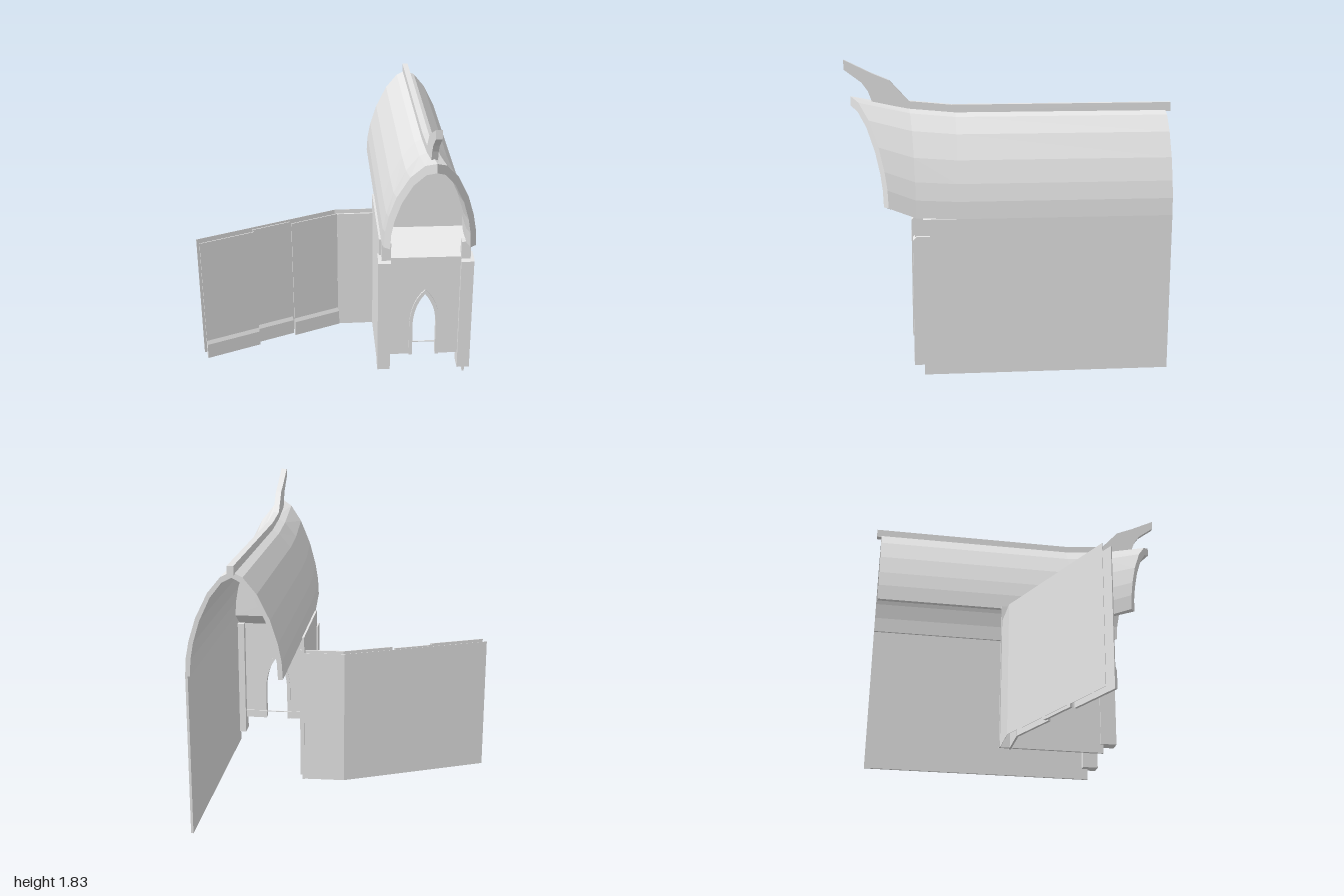
import * as THREE from 'three';

const W = 0.269; // half width of the hall
const EAVE = 0.94;
const RISE = 0.59;

// Half of the pointed roof section, eave to ridge
const ARCH = [[W, EAVE], [0.263, 1.04], [0.244, 1.14], [0.203, 1.27], [0.134, 1.41], [0.06, 1.5], [0, EAVE + RISE]];
const OUTER = [
  ...ARCH.map(([x, y]) => [-x, y]),
  ...ARCH.slice(0, -1).reverse(),
];
// Underside of the roof for given width and height factors
const inner = (sx, sy) => OUTER.map(([x, y]) => [x * sx, EAVE + (y - EAVE) * sy]);

function toShape(points) {
  return new THREE.Shape(points.map(([a, b]) => new THREE.Vector2(a, b)));
}

// Extrudes a [z, y] profile along x from x0 to x1
function extrudeX(points, x0, x1) {
  const g = new THREE.ExtrudeGeometry(toShape(points), { depth: x1 - x0, bevelEnabled: false });
  return g.rotateY(-Math.PI / 2).translate(x1, 0, 0);
}

function extrudeZ(shape, z0, z1) {
  return new THREE.ExtrudeGeometry(shape, { depth: z1 - z0, bevelEnabled: false, curveSegments: 6 }).translate(0, 0, z0);
}

function block(x0, x1, y0, y1, z0, z1) {
  return new THREE.BoxGeometry(x1 - x0, y1 - y0, z1 - z0)
    .translate((x0 + x1) / 2, (y0 + y1) / 2, (z0 + z1) / 2);
}

// Roof shell lofted from back to front, flaring to a thicker prow
function roofGeometry() {
  // z, eave lift, ridge lift, forward reach of the ridge, inner width and height factors
  const rows = [
    [0, 0, 0, 0, 0.9, 0.945],
    [1.25, 0, 0, 0, 0.9, 0.945],
    [1.49, 0.01, 0.025, 0.03, 0.88, 0.93],
    [1.645, 0.07, 0.09, 0.21, 0.87, 0.91],
  ];
  const n = OUTER.length, N = 2 * n;
  const pos = [], idx = [];
  for (const [z, eave, ridge, reach, sx, sy] of rows) {
    for (const [x, y] of [...OUTER, ...inner(sx, sy).reverse()]) {
      const t = (y - EAVE) / RISE;
      pos.push(x, y + eave + (ridge - eave) * t, z + reach * (1 - Math.abs(x) / W));
    }
  }
  for (let r = 0; r < rows.length - 1; r++) {
    for (let k = 0; k < N; k++) {
      const k1 = (k + 1) % N;
      const a = r * N + k, a1 = r * N + k1, b = a + N, b1 = a1 + N;
      idx.push(b, b1, a1, b, a1, a);
    }
  }
  // End rims
  const f = (rows.length - 1) * N;
  for (let k = 0; k < n - 1; k++) {
    const i = N - 1 - k, i1 = i - 1, o = k, o1 = k + 1;
    idx.push(f + i, f + i1, f + o1, f + i, f + o1, f + o);
    idx.push(i, o1, i1, i, o, o1);
  }
  const g = new THREE.BufferGeometry();
  g.setAttribute('position', new THREE.Float32BufferAttribute(pos, 3));
  g.setIndex(idx);
  const flat = g.toNonIndexed();
  flat.computeVertexNormals();
  return flat;
}

// Continues a path from its right foot over a pointed arch to the left foot
function archPath(path, w, base, spring, apex) {
  path.lineTo(w, base);
  path.lineTo(w, spring);
  path.quadraticCurveTo(w * 0.9, apex - 0.08, 0, apex);
  path.quadraticCurveTo(-w * 0.9, apex - 0.08, -w, spring);
  path.lineTo(-w, base);
}

export function createModel() {
  const stone = new THREE.MeshStandardMaterial({ color: 0xe6e6e6 });
  stone.name = 'pale grey';

  const model = new THREE.Group();
  model.name = 'hallWithFence';
  const hall = new THREE.Group();
  hall.name = 'hall';
  hall.position.set(0.75, 0, -0.815);
  hall.rotation.y = -0.408;
  model.add(hall);

  const add = (parent, name, geometry) => {
    const mesh = new THREE.Mesh(geometry, stone);
    mesh.name = name;
    parent.add(mesh);
    return mesh;
  };

  // Roof and ridge beam with its raised horn
  add(hall, 'roof', roofGeometry());
  add(hall, 'ridgeBeam', extrudeX([
    [-0.03, 1.515], [-0.03, 1.568], [1.27, 1.566], [1.52, 1.59], [1.63, 1.71], [1.737, 1.755], [1.89, 1.83],
    [1.89, 1.775], [1.79, 1.7], [1.754, 1.65], [1.732, 1.59], [1.45, 1.53], [1.25, 1.515],
  ], -0.018, 0.018));

  // Side walls: full length on one side, front half on the other
  add(hall, 'leftWall', block(W - 0.014, W, 0, EAVE, 0, 1.45));
  add(hall, 'rightWall', block(-W - 0.012, -W + 0.004, 0.015, 0.95, 0.785, 1.43));

  // Corner piers with sloped caps and short posts under the eaves
  for (const s of [-1, 1]) {
    const side = s < 0 ? 'right' : 'left';
    const span = (a, b) => (s > 0 ? [a, b] : [-b, -a]);
    add(hall, side + 'Pier', extrudeX(
      [[1.412, 0.07], [1.51, 0.07], [1.51, 0.825], [1.49, 0.845], [1.412, 0.845]], ...span(0.212, 0.29)));
    add(hall, side + 'EavePost', block(...span(0.212, W - 0.001), 0.84, 0.955, 1.45, 1.497));
  }

  // Front wall with door opening
  const front = new THREE.Shape();
  front.moveTo(-0.22, 0.85);
  front.lineTo(0.22, 0.85);
  front.lineTo(0.22, 0.165);
  archPath(front, 0.085, 0.165, 0.4, 0.615);
  front.lineTo(-0.22, 0.165);
  add(hall, 'frontWall', extrudeZ(front, 1.455, 1.485));

  // Raised door surround
  const frame = new THREE.Shape();
  frame.moveTo(-0.093, 0.165);
  frame.lineTo(-0.093, 0.4);
  frame.quadraticCurveTo(-0.084, 0.55, 0, 0.63);
  frame.quadraticCurveTo(0.084, 0.55, 0.093, 0.4);
  frame.lineTo(0.093, 0.165);
  archPath(frame, 0.072, 0.165, 0.4, 0.6);
  add(hall, 'doorFrame', extrudeZ(frame, 1.45, 1.495));
  add(hall, 'doorBar', block(-0.26, 0.26, 0.218, 0.224, 1.43, 1.436));

  // Ledge sloping back to the recessed gable
  add(hall, 'gableLedge', extrudeX(
    [[1.485, 0.85], [1.29, 0.97], [1.28, 0.955], [1.455, 0.84]], -0.25, 0.25));
  add(hall, 'gable', extrudeZ(toShape(inner(0.91, 0.95)), 1.28, 1.3));

  // Front fence panels with a sloped plinth
  const fence = new THREE.Group();
  fence.name = 'fence';
  model.add(fence);
  const panels = [[-1, -0.64, -0.235], [-0.64, -0.385, -0.265], [-0.385, -0.06, -0.235]];
  panels.forEach(([x0, x1, z], i) => add(fence, 'fencePanel' + (i + 1), extrudeX([
    [z, 0.015], [z + 0.016, 0.015], [z + 0.016, 0.115], [z + 0.006, 0.14], [z + 0.006, 0.848], [z, 0.848],
  ], x0, x1)));

  // Angled panel joining the hall
  const link = add(fence, 'fenceLink', block(0, 0.27, 0.015, 0.848, -0.006, 0.006));
  link.position.set(-0.063, 0, -0.23);
  link.rotation.y = -0.39;

  // Thin rear sheet running unbroken behind the panels
  const rearZ = -0.295;
  add(fence, 'fenceBack', block(-1, -0.05, 0.015, 0.848, rearZ, rearZ + 0.002));
  const rearLink = add(fence, 'fenceBackLink', block(0, 0.25, 0.015, 0.848, 0, 0.002));
  rearLink.position.set(-0.05, 0, rearZ);
  rearLink.rotation.y = -0.39;

  return model;
}
